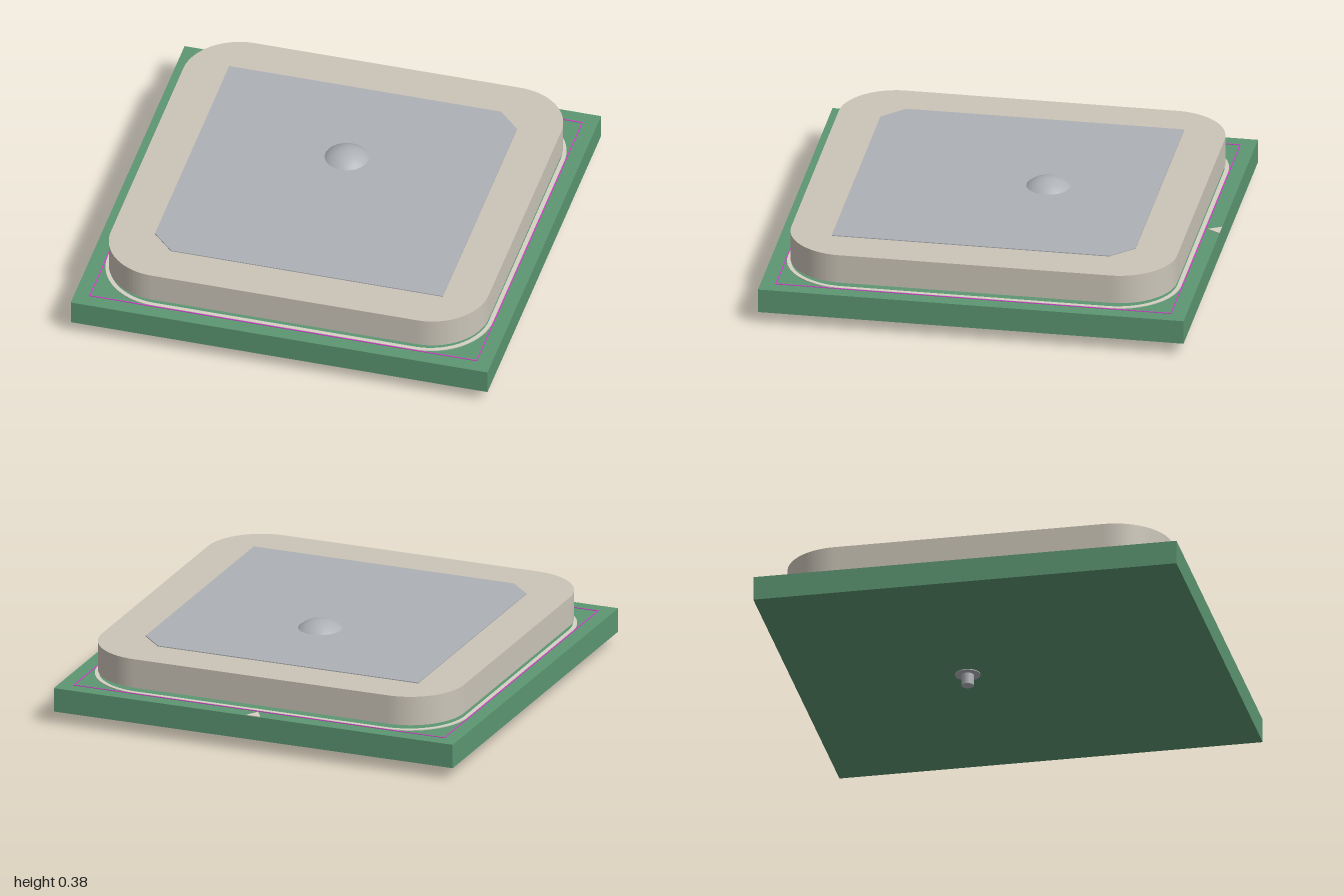
import * as THREE from 'three';

const mat = (name, color) => {
  const m = new THREE.MeshStandardMaterial({ color });
  m.name = name;
  return m;
};

// Square outline of half-size h with corner radius r, added to a Shape or Path
function roundedSquare(h, r, target = new THREE.Shape()) {
  const c = h - r;
  [[c, c], [-c, c], [-c, -c], [c, -c]].forEach(([x, y], i) =>
    target.absarc(x, y, r, i * Math.PI / 2, (i + 1) * Math.PI / 2, false));
  target.closePath();
  return target;
}

function polygon(points, target = new THREE.Shape()) {
  target.setFromPoints(points.map(([x, y]) => new THREE.Vector2(x, y)));
  target.closePath();
  return target;
}

const square = (h, target) => polygon([[h, h], [-h, h], [-h, -h], [h, -h]], target);

// Flat plate standing on y, with the shape's +y pointing to the back
function plate(shape, y, depth) {
  const g = new THREE.ExtrudeGeometry(shape, { depth, bevelEnabled: false, curveSegments: 16 });
  return g.rotateX(-Math.PI / 2).translate(0, y, 0);
}

export function createModel() {
  const group = new THREE.Group();
  const green = mat('board green', 0x5c9672);
  const ceramic = mat('ceramic beige', 0xcbc5b8);
  const metal = mat('silver metal', 0xadb0b5);
  const ink = mat('printed cream', 0xd6d1c4);
  const magenta = mat('outline magenta', 0xd040c8);

  const add = (name, geometry, material) => {
    const mesh = new THREE.Mesh(geometry, material);
    mesh.name = name;
    group.add(mesh);
    return mesh;
  };

  // Circuit board
  add('board', new THREE.BoxGeometry(2, 0.115, 2).translate(0, 0.1155, 0), green);

  // Printed outline around the ceramic block
  const outline = roundedSquare(0.925, 0.3);
  outline.holes.push(roundedSquare(0.905, 0.28, new THREE.Path()));
  add('printedOutline', plate(outline, 0.173, 0.004), ink);

  // Thin square keep-out line
  const keepOut = square(0.931);
  keepOut.holes.push(square(0.926, new THREE.Path()));
  add('keepOutLine', plate(keepOut, 0.173, 0.003), magenta);

  // Orientation mark on the back edge
  add('orientationMark', plate(polygon([[-0.035, 1], [0, 0.94], [0.035, 1]]), 0.173, 0.004), ink);

  // Mounting pad, ceramic block and chamfered patch
  add('mountingPad', plate(roundedSquare(0.76, 0.22), 0.173, 0.022), ceramic);
  add('ceramicBlock', plate(roundedSquare(0.907, 0.27), 0.195, 0.14), ceramic);
  const p = 0.705, k = 0.6;
  add('metalPatch', plate(polygon([[k, p], [-p, p], [-p, -k], [-k, -p], [p, -p], [p, k]]), 0.335, 0.004), metal);

  // Feed pin with solder dome above and collar below
  const z = -0.19, rim = 0.107, rise = 0.045;
  const radius = (rim * rim + rise * rise) / (2 * rise);
  const dome = new THREE.SphereGeometry(radius, 32, 10, 0, Math.PI * 2, 0, Math.asin(rim / radius));
  add('solderDome', dome.translate(0, 0.38 - radius, z), metal);
  add('feedPin', new THREE.CylinderGeometry(0.029, 0.029, 0.33, 24).translate(0, 0.165, z), metal);
  add('pinCollar', new THREE.CylinderGeometry(0.06, 0.06, 0.004, 32).translate(0, 0.056, z), metal);

  return group;
}
